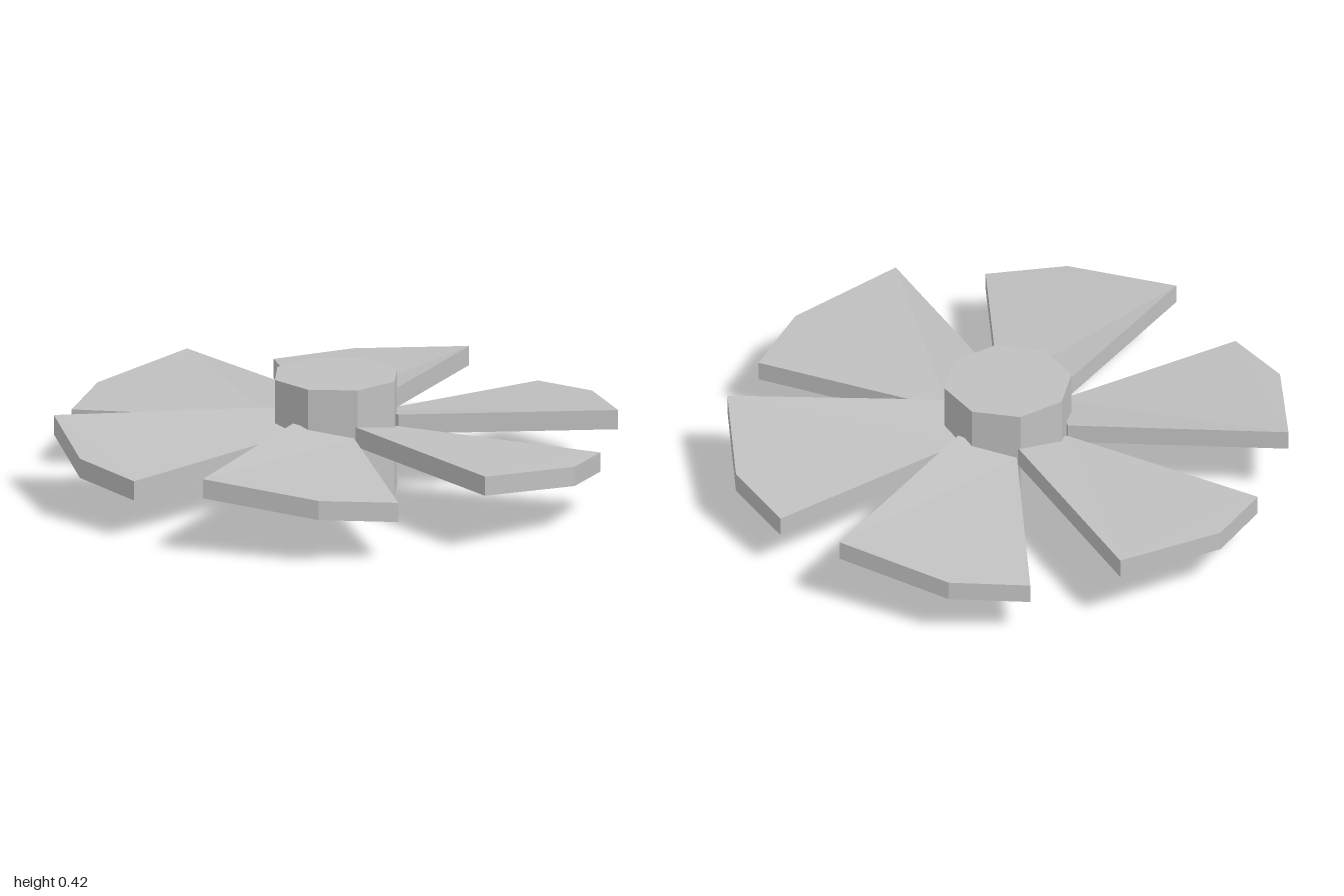
import * as THREE from 'three';

const BLADES = 6;
const THICKNESS = 0.07;

// Blade outline: [angle from +x towards +z in degrees, radius, top height]
const OUTLINE = [
  [-27, 0.224, 0.245], // root, low edge
  [-23.5, 0.972, 0.213], // tip, low corner
  [-6.9, 1.006, 0.236], // tip, middle corner
  [17.7, 0.993, 0.28], // tip, high corner
  [32, 0.225, 0.286], // root, high edge
];

// Pitched, slightly twisted wedge with flat faces
function bladeGeometry() {
  const top = OUTLINE.map(([deg, r, y]) => {
    const a = THREE.MathUtils.degToRad(deg);
    return new THREE.Vector3(r * Math.cos(a), y, r * Math.sin(a));
  });
  const bottom = top.map((p) => p.clone().setY(p.y - THICKNESS));
  const points = [];

  // Upper and lower faces
  for (const [a, b, c] of [[0, 3, 1], [0, 4, 3], [1, 3, 2]]) {
    points.push(top[a], top[b], top[c], bottom[a], bottom[c], bottom[b]);
  }
  // Rim
  for (let i = 0; i < top.length; i++) {
    const j = (i + 1) % top.length;
    points.push(top[i], top[j], bottom[j], top[i], bottom[j], bottom[i]);
  }

  const geometry = new THREE.BufferGeometry().setFromPoints(points);
  geometry.computeVertexNormals();
  return geometry;
}

export function createModel() {
  const model = new THREE.Group();
  model.name = 'propeller';
  const metal = new THREE.MeshStandardMaterial({ color: 0xc0c0c0 });
  metal.name = 'light grey metal';
  metal.flatShading = true;

  // Octagonal hub
  const hub = new THREE.Mesh(new THREE.CylinderGeometry(0.228, 0.228, 0.42, 8), metal);
  hub.name = 'hub';
  hub.position.y = 0.21;
  model.add(hub);

  // Ring of blades
  const blades = new THREE.Group();
  blades.name = 'blades';
  const geometry = bladeGeometry();
  for (let i = 0; i < BLADES; i++) {
    const blade = new THREE.Mesh(geometry, metal);
    blade.name = `blade${i + 1}`;
    blade.rotation.y = (i * Math.PI * 2) / BLADES;
    blades.add(blade);
  }
  model.add(blades);
  return model;
}
